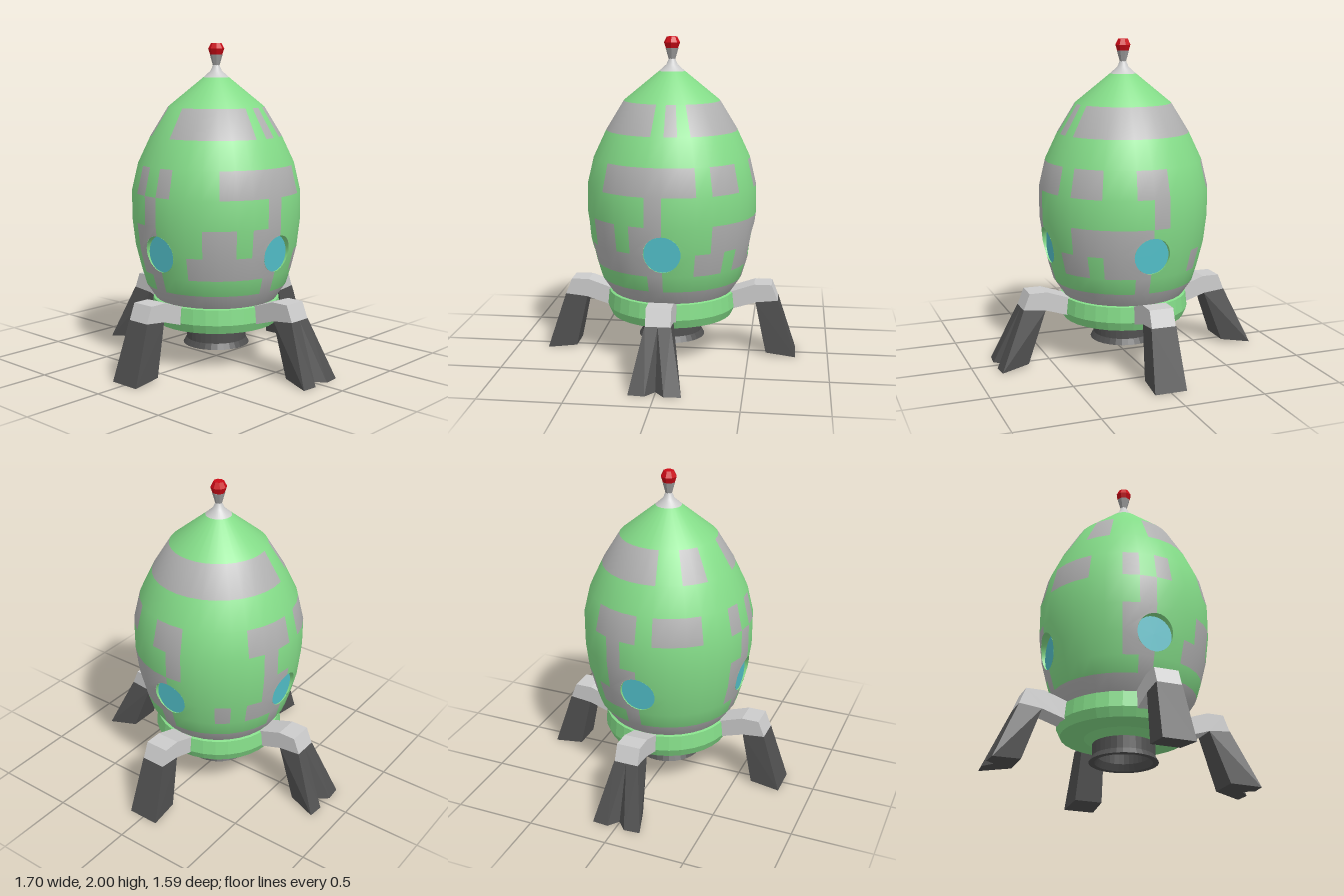
import * as THREE from 'three';
import { ConvexGeometry } from 'three/addons/geometries/ConvexGeometry.js';

const mat = (color, flatShading = false) =>
  new THREE.MeshStandardMaterial({ color, flatShading, side: THREE.DoubleSide });
const GREEN = mat(0x84dc88), GREY = mat(0xb0b0b0), LIGHT = mat(0xcccccc, true);
const DARK = mat(0x505050, true), RED = mat(0xcc0a16, true), BLUE = mat(0x50bcc6);

const SEG = 32, STEP = (Math.PI * 2) / SEG;
const WIN_Y = 0.743, WIN_R = 0.113, WIN_DEPTH = 0.475;

// Hull profile: radius and height at each band edge, top to bottom
const PROFILE = [[0.08, 1.79], [0.3, 1.61], [0.41, 1.43], [0.49, 1.26], [0.53, 1.09],
  [0.53, 0.91], [0.51, 0.74], [0.475, 0.6], [0.445, 0.5], [0.385, 0.41]];

// Grey paint cells of each band as [first, end) ranges around the hull
const PAINT = [
  [],
  [[0, 7], [8, 9], [10, 25], [27, 29]],
  [],
  [[0, 1], [4, 10], [11, 13], [15, 17], [21, 24], [25, 28], [30, 31]],
  [[7, 8], [16, 17], [22, 23], [31, 32]],
  [[3, 5], [11, 14]],
  [[2, 6], [10, 12], [13, 14], [19, 20], [21, 22]],
  [[7, 8], [15, 16], [23, 24], [31, 32]],
  [[0, 32]],
];

function radiusAt(y) {
  for (let i = 0; i < PROFILE.length - 1; i++) {
    const [r0, y0] = PROFILE[i], [r1, y1] = PROFILE[i + 1];
    if (y >= y1 || i === PROFILE.length - 2) return r0 + ((r1 - r0) * (y0 - y)) / (y0 - y1);
  }
}
const hullPoint = (a, y) => [radiusAt(y) * Math.sin(a), y, radiusAt(y) * Math.cos(a)];
function hullNormal(a, y) {
  const h = 0.07, slope = (radiusAt(y + h) - radiusAt(y - h)) / (2 * h);
  return new THREE.Vector3(Math.sin(a), -slope, Math.cos(a)).normalize().toArray();
}

// Turns a list of (angle, height) triangle corners into a smooth piece of hull
function hullMesh(name, corners, material) {
  const g = new THREE.BufferGeometry();
  const set = (key, f) =>
    g.setAttribute(key, new THREE.Float32BufferAttribute(corners.flatMap(([a, y]) => f(a, y)), 3));
  set('position', hullPoint);
  set('normal', hullNormal);
  const m = new THREE.Mesh(g, material);
  m.name = name;
  return m;
}

function lathe(name, points, sides, material) {
  const m = new THREE.Mesh(
    new THREE.LatheGeometry(points.map(p => new THREE.Vector2(...p)), sides), material);
  m.name = name;
  return m;
}

// Half of the hull panel around a window, with a half-round notch
function windowPanel(side, centre) {
  const w = side * STEP, pts = [[0, 0.6], [w, 0.6], [2 * w, 0.6], [2 * w, 0.74],
    [2 * w, 0.91], [w, 0.91], [0, 0.91]];
  for (let i = 0; i <= 14; i++) {
    const t = (Math.PI * i) / 14;
    pts.push([side * Math.asin((WIN_R * Math.sin(t)) / 0.51), WIN_Y + WIN_R * Math.cos(t)]);
  }
  const flat = new THREE.ShapeGeometry(
    new THREE.Shape(pts.map(p => new THREE.Vector2(...p)))).toNonIndexed().attributes.position;
  const out = [];
  for (let i = 0; i < flat.count; i++) out.push([centre + flat.getX(i), flat.getY(i)]);
  return out;
}

function hull() {
  const group = new THREE.Group();
  group.name = 'hull';
  const green = [], grey = [];
  for (let b = 0; b < PROFILE.length - 1; b++) {
    const top = PROFILE[b][1], low = PROFILE[b + 1][1];
    for (let k = 0; k < SEG; k++) {
      // leave room for the window panels
      if ((b === 5 || b === 6) && (k + 2) % 8 < 4) continue;
      const list = PAINT[b].some(([s, e]) => k >= s && k < e) ? grey : green;
      const a = k * STEP, c = a + STEP;
      list.push([a, low], [c, low], [c, top], [a, low], [c, top], [a, top]);
    }
  }
  for (let i = 0; i < 4; i++) {
    grey.push(...windowPanel(-1, (i * Math.PI) / 2));
    green.push(...windowPanel(1, (i * Math.PI) / 2));
  }
  group.add(hullMesh('greenHull', green, GREEN), hullMesh('greyPaint', grey, GREY));
  return group;
}

// Recessed round pane with a rim reaching out to the hull surface
function porthole() {
  const group = new THREE.Group();
  group.name = 'porthole';
  const pane = new THREE.Mesh(new THREE.CircleGeometry(WIN_R, 28), BLUE);
  pane.name = 'pane';
  pane.position.set(0, WIN_Y, WIN_DEPTH);
  const g = new THREE.CylinderGeometry(WIN_R, WIN_R, 1, 28, 1, true);
  g.rotateX(Math.PI / 2);
  const p = g.attributes.position;
  for (let i = 0; i < p.count; i++) {
    const x = p.getX(i), y = p.getY(i) + WIN_Y;
    const a = Math.asin(x / 0.51);
    p.setXYZ(i, x, y, p.getZ(i) > 0 ? radiusAt(y) * Math.cos(a) : WIN_DEPTH);
  }
  g.computeVertexNormals();
  const rim = new THREE.Mesh(g, GREEN);
  rim.name = 'rim';
  group.add(pane, rim);
  return group;
}

const hullOf = pts => new ConvexGeometry(pts.map(p => new THREE.Vector3(...p)));

// One leg pointing along +x; forked legs split into two prongs
function leg(forked) {
  const group = new THREE.Group();
  group.name = forked ? 'forkedLeg' : 'straightLeg';
  const outline = [[0.37, 0.405], [0.53, 0.46], [0.64, 0.46], [0.68, 0.36], [0.54, 0.345], [0.4, 0.3]];
  const g = new THREE.ExtrudeGeometry(
    new THREE.Shape(outline.map(p => new THREE.Vector2(...p))), { depth: 0.15, bevelEnabled: false });
  g.translate(0, 0, -0.075);
  const bracket = new THREE.Mesh(g, LIGHT);
  bracket.name = 'legBracket';
  group.add(bracket);
  for (const s of forked ? [1, -1] : [0]) {
    const pts = s
      ? [[0.54, 0.345, 0], [0.54, 0.345, 0.076 * s], [0.68, 0.36, 0.078 * s], [0.68, 0.36, 0],
        [0.66, 0.02, 0], [0.66, 0.02, 0.1 * s], [0.84, 0, 0.155 * s], [0.848, 0, 0.055 * s], [0.79, 0.006, 0]]
      : [1, -1].flatMap(d => [[0.54, 0.345, 0.076 * d], [0.68, 0.36, 0.078 * d],
        [0.61, 0.02, 0.09 * d], [0.797, 0, 0.1 * d]]);
    const strut = new THREE.Mesh(hullOf(pts), DARK);
    strut.name = 'strut';
    group.add(strut);
  }
  return group;
}

export function createModel() {
  const model = new THREE.Group();
  model.name = 'rocket';
  model.add(hull());

  // Nose and beacon
  model.add(lathe('noseCap', [[0.08, 1.79], [0.035, 1.83], [0.02, 1.865]], 32, mat(0xcccccc)));
  model.add(lathe('antenna', [[0.02, 1.86], [0.04, 1.93]], 8, mat(0xa0a0a0, true)));
  model.add(lathe('beacon', [[0, 1.93], [0.038, 1.93], [0.05, 1.965], [0.032, 2], [0, 2]], 8, RED));

  // Collar and engine
  const collar = [[0.385, 0.41], [0.4, 0.405], [0.41, 0.31], [0.385, 0.255], [0.24, 0.245], [0.19, 0.21]];
  model.add(lathe('collar', collar, 32, mat(0x84dc88, true)));
  const nozzle = [[0.19, 0.215], [0.19, 0.135], [0.21, 0.1], [0.175, 0.1], [0.155, 0.14], [0.15, 0.2], [0, 0.2]];
  model.add(lathe('nozzle', nozzle, 32, mat(0x505050, true)));

  // Four portholes and four legs
  for (let i = 0; i < 4; i++) {
    const p = porthole();
    p.rotation.y = (i * Math.PI) / 2;
    const l = leg(i % 2 === 0);
    l.rotation.y = (i * Math.PI) / 2;
    model.add(p, l);
  }
  return model;
}
